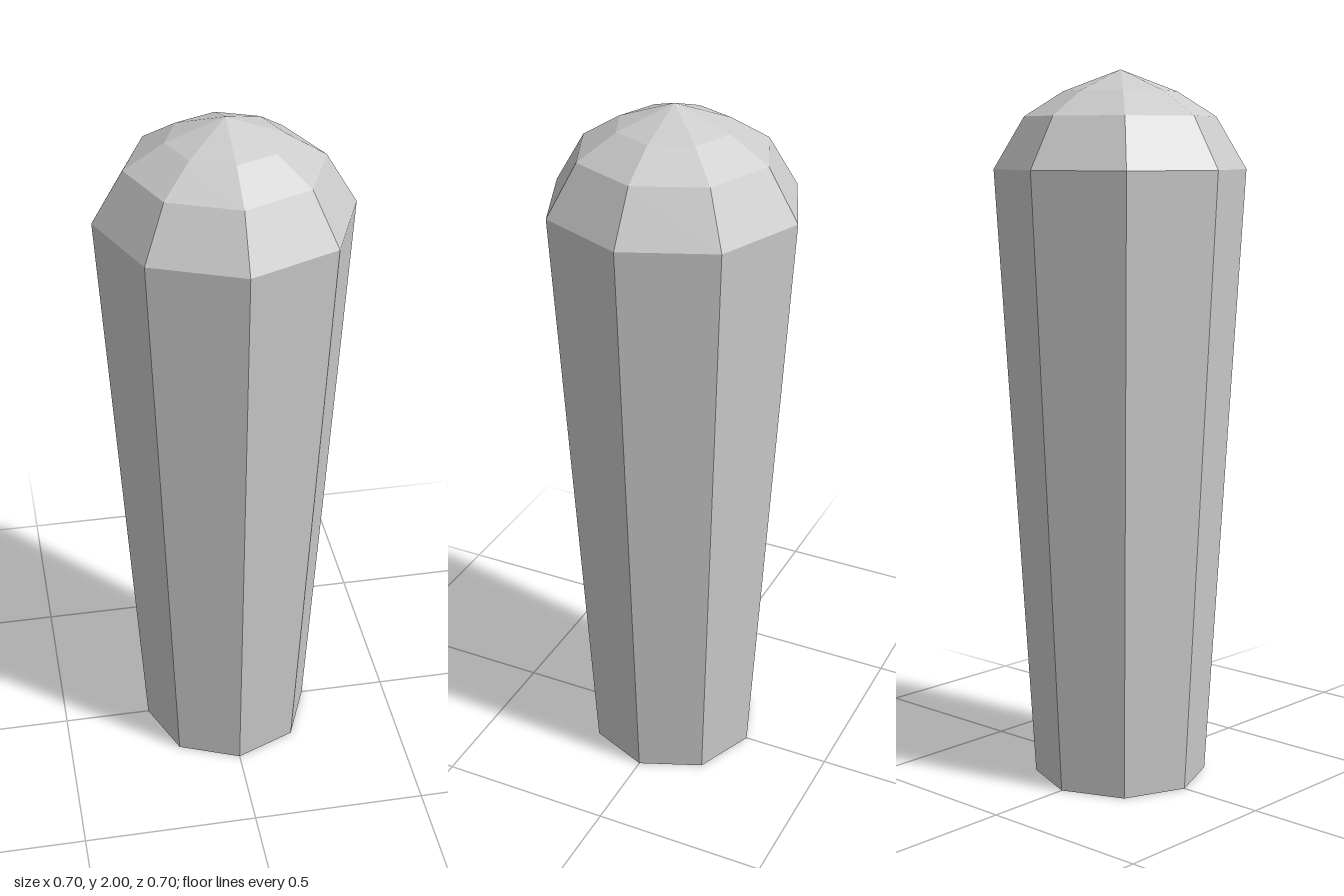
import * as THREE from 'three';

export function createModel() {
  const group = new THREE.Group();
  group.name = 'domedPeg';

  // Eight-sided tapered shell: open at the bottom, faceted dome on top
  const profile = [
    [0.245, 0],
    [0.35, 1.73],
    [0.265, 1.873],
    [0.157, 1.941],
    [0, 2],
  ].map(([r, y]) => new THREE.Vector2(r, y));

  const shell = new THREE.Mesh(
    new THREE.LatheGeometry(profile, 8),
    new THREE.MeshStandardMaterial({ color: 0xcccccc, flatShading: true, side: THREE.DoubleSide })
  );
  shell.name = 'shell';
  group.add(shell);

  return group;
}
